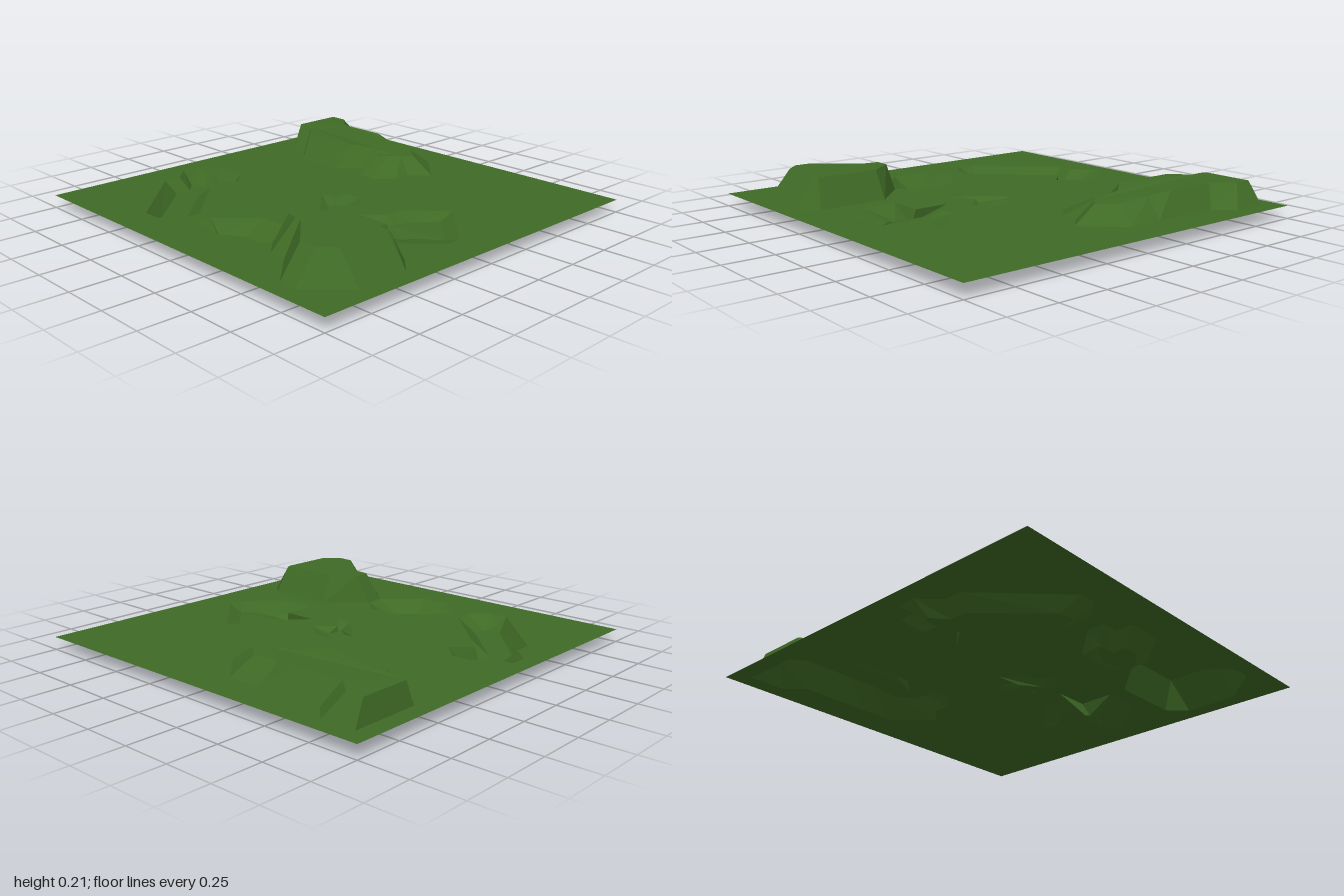
import * as THREE from 'three';

const N = 11;          // grid cells from centre to edge
const GROUND = 0.065;  // level of the flat ground

// Each feature: rim corners in grid steps [i, k], then the shifted corner [x, z, y] of its floor or top
const features = {
  longHill: [
    [-10, -10, -0.89, -0.84, 0.18], [-8, -10, -0.80, -0.84, 0.18], [-7, -9, -0.70, -0.75, 0.18],
    [-5, -9, -0.42, -0.75, 0.18], [-3, -9, -0.30, -0.72, 0.165], [-1, -9, -0.13, -0.71, 0.15],
    [1, -7, -0.04, -0.63, 0.15], [0, -6, -0.08, -0.58, 0.15], [0, -5, -0.12, -0.535, 0.15],
    [-1, -4, -0.135, -0.53, 0.15], [-2, -4, -0.18, -0.53, 0.15], [-2, -5, -0.20, -0.54, 0.15],
    [-3, -5, -0.27, -0.55, 0.165], [-4, -4, -0.36, -0.475, 0.18], [-7, -4, -0.70, -0.475, 0.18],
    [-8, -5, -0.79, -0.565, 0.18], [-9, -5, -0.88, -0.565, 0.18], [-10, -6, -0.89, -0.575, 0.18],
  ],
  tallHill: [
    [5, 4, 0.46, 0.43, 0.21], [9, 4, 0.79, 0.43, 0.21], [10, 5, 0.795, 0.45, 0.21],
    [10, 8, 0.79, 0.72, 0.21], [8, 10, 0.72, 0.79, 0.21], [7, 10, 0.63, 0.79, 0.21],
    [5, 8, 0.43, 0.61, 0.21], [4, 8, 0.40, 0.61, 0.21], [3, 7, 0.34, 0.60, 0.21], [3, 6, 0.34, 0.52, 0.21],
  ],
  longPit: [
    [-9, 1, -0.755, 0.165, 0], [-7, 1, -0.64, 0.165, 0], [-6, 2, -0.56, 0.18, 0], [-7, 3, -0.655, 0.28, 0],
    [-6, 4, -0.66, 0.36, 0], [-3, 7, -0.39, 0.63, 0], [-3, 8, -0.39, 0.70, 0], [-4, 9, -0.41, 0.74, 0],
    [-5, 9, -0.48, 0.72, 0], [-9, 5, -0.755, 0.43, 0], [-9, 4, -0.755, 0.345, 0], [-10, 3, -0.83, 0.28, 0],
    [-10, 2, -0.83, 0.26, 0], [-9, 2, -0.75, 0.25, 0],
  ],
  frontPit: [
    [0, 5, 0, 0.57, 0], [2, 5, 0.15, 0.57, 0], [3, 6, 0.16, 0.60, 0], [3, 7, 0.16, 0.64, 0],
    [1, 9, 0.06, 0.73, 0], [-1, 9, -0.03, 0.73, 0], [-1, 8, -0.03, 0.66, 0],
    [-2, 8, -0.11, 0.655, 0], [-2, 7, -0.12, 0.64, 0],
  ],
  smallPit: [
    [0, -1, 0.05, 0, 0.035], [1, -1, 0.08, 0, 0.035], [2, 0, 0.10, 0.03, 0.035], [1, 1, 0.09, 0.08, 0.035],
    [2, 2, 0.12, 0.11, 0.035], [1, 2, 0.10, 0.12, 0.035], [-1, 0, 0, 0.05, 0.035], [0, 0, 0.04, 0.04, 0.035],
  ],
  shallowPit: [
    [6, -3, 0.55, -0.18, 0.035], [9, 0, 0.73, 0, 0.035], [9, 1, 0.70, 0.03, 0.035], [8, 2, 0.64, 0.06, 0.035],
    [7, 3, 0.57, 0.10, 0.02], [5, 3, 0.48, 0.12, 0], [5, 1, 0.47, 0.10, 0], [3, 1, 0.42, 0.04, 0.035],
    [4, 0, 0.43, 0.01, 0.035], [4, -1, 0.46, -0.06, 0.035],
  ],
};

const grass = new THREE.MeshStandardMaterial({ color: 0x3f6a25, flatShading: true, side: THREE.DoubleSide });

function meshOf(name, points) {
  const geometry = new THREE.BufferGeometry().setFromPoints(points);
  geometry.computeVertexNormals();
  const mesh = new THREE.Mesh(geometry, grass);
  mesh.name = name;
  return mesh;
}

// Sloping walls from the rim to the cap, then the cap itself
function buildFeature(name, rows) {
  const flat = rows.map(([, , x, z]) => new THREE.Vector2(x, -z));
  if (THREE.ShapeUtils.isClockWise(flat)) {
    rows = [...rows].reverse();
    flat.reverse();
  }
  const rim = rows.map(([i, k]) => new THREE.Vector3(i / N, GROUND, k / N));
  const cap = rows.map(([, , x, z, y]) => new THREE.Vector3(x, y, z));
  const points = [];
  rim.forEach((p, a) => {
    const b = (a + 1) % rim.length;
    points.push(p, rim[b], cap[b], p, cap[b], cap[a]);
  });
  for (const face of THREE.ShapeUtils.triangulateShape(flat, [])) points.push(...face.map((i) => cap[i]));
  return meshOf(name, points);
}

function inside(x, z, rows) {
  let hit = false;
  rows.forEach(([x1, z1], a) => {
    const [x2, z2] = rows[(a + 1) % rows.length];
    if ((z1 > z) !== (z2 > z) && x < x1 + ((z - z1) / (z2 - z1)) * (x2 - x1)) hit = !hit;
  });
  return hit;
}

// Flat ground: each cell is cut into four triangles, left out where a feature takes its place
function buildGround() {
  const points = [];
  const outlines = Object.values(features);
  const corners = [[0, 0], [0, 1], [1, 1], [1, 0]];
  for (let i = -N; i < N; i++) {
    for (let k = -N; k < N; k++) {
      corners.forEach(([a, b], c) => {
        const [d, e] = corners[(c + 1) % 4];
        const tri = [[i + a, k + b], [i + d, k + e], [i + 0.5, k + 0.5]];
        const cx = (tri[0][0] + tri[1][0] + tri[2][0]) / 3;
        const cz = (tri[0][1] + tri[1][1] + tri[2][1]) / 3;
        if (outlines.some((rows) => inside(cx, cz, rows))) return;
        points.push(...tri.map(([x, z]) => new THREE.Vector3(x / N, GROUND, z / N)));
      });
    }
  }
  return meshOf('ground', points);
}

export function createModel() {
  const terrain = new THREE.Group();
  terrain.name = 'terrain';
  terrain.add(buildGround());
  for (const [name, rows] of Object.entries(features)) terrain.add(buildFeature(name, rows));
  return terrain;
}
